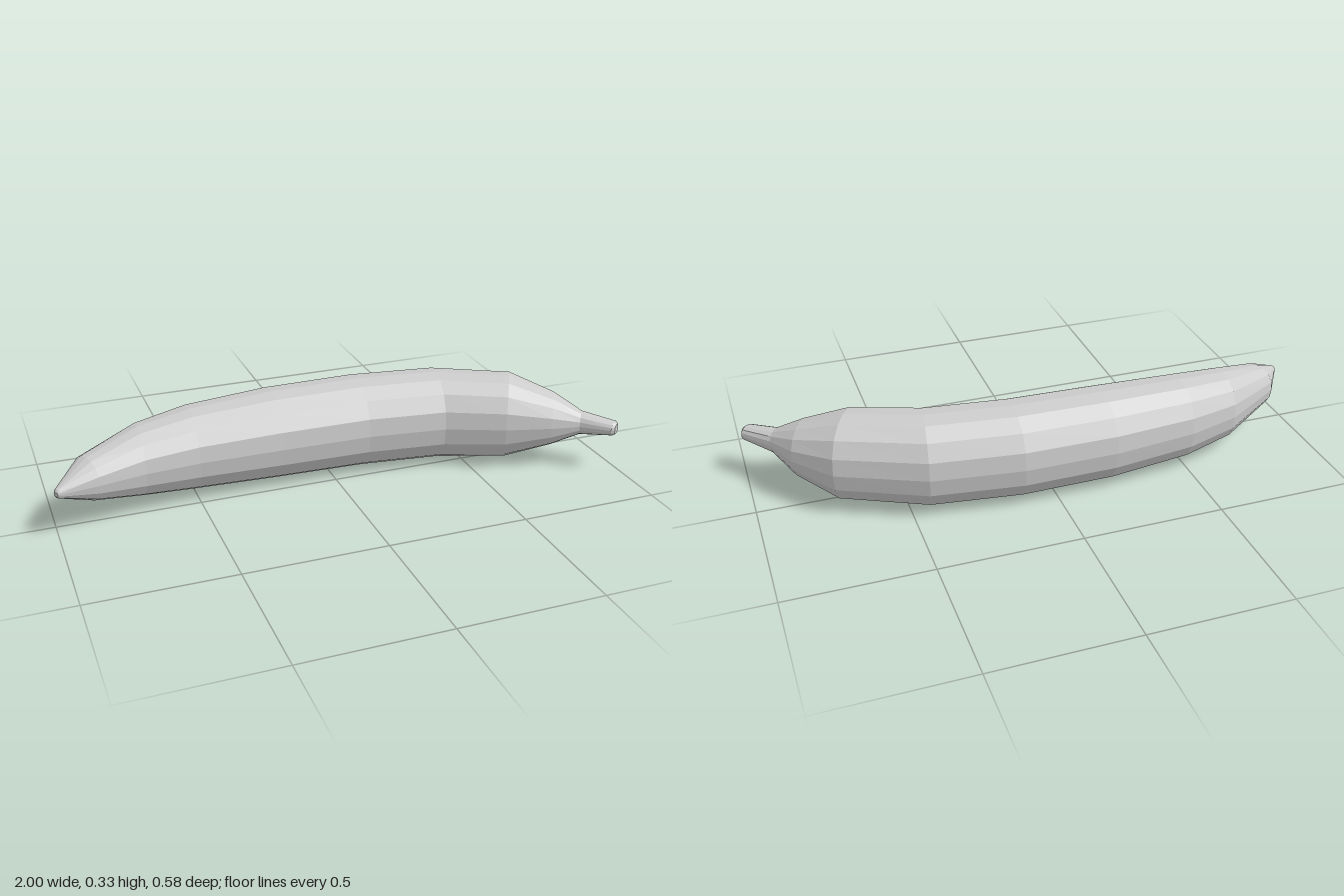
import * as THREE from 'three';

const SIDES = 16;
const MID_Y = 0.163;

// Each ring: [outer x, outer z, inner x, inner z, vertical radius]
const TIP = [
  [-0.998, 0.078, -0.99, 0.09, 0.008],
  [-1.0, 0.066, -0.98, 0.089, 0.016],
];
const BODY = [
  TIP[1],
  [-0.91, -0.07, -0.85, 0.07, 0.076],
  [-0.69, -0.205, -0.69, 0.04, 0.122],
  [-0.5, -0.26, -0.5, 0.025, 0.145],
  [-0.2, -0.293, -0.2, 0.025, 0.159],
  [0.13, -0.293, 0.12, 0.03, 0.163],
  [0.45, -0.25, 0.4, 0.065, 0.162],
  [0.745, -0.115, 0.6, 0.15, 0.153],
  [0.86, 0.02, 0.76, 0.195, 0.095],
  [0.915, 0.145, 0.865, 0.215, 0.042],
];
const STEM = [
  BODY[BODY.length - 1],
  [1.0, 0.245, 0.952, 0.287, 0.026],
  [0.997, 0.263, 0.967, 0.288, 0.019],
];

// Point on a slightly squared ring standing across the curved body
function ringPoint([ox, oz, ix, iz, r], j) {
  const a = (j % SIDES) / SIDES * Math.PI * 2;
  const bulge = 1 + 0.05 * Math.sin(2 * a) ** 2;
  const c = Math.cos(a) * bulge;
  return [
    (ox + ix) / 2 + (ox - ix) / 2 * c,
    MID_Y + r * Math.sin(a) * bulge,
    (oz + iz) / 2 + (oz - iz) / 2 * c,
  ];
}

// Skin a list of rings, with optional caps at either end
function loft(rings, capStart, capEnd) {
  const pos = [];
  const tri = (...points) => points.forEach((p) => pos.push(...p));
  const centre = ([ox, oz, ix, iz]) => [(ox + ix) / 2, MID_Y, (oz + iz) / 2];
  const first = rings[0];
  const last = rings[rings.length - 1];
  for (let j = 0; j < SIDES; j++) {
    for (let i = 0; i < rings.length - 1; i++) {
      const a = ringPoint(rings[i], j);
      const b = ringPoint(rings[i], j + 1);
      const c = ringPoint(rings[i + 1], j + 1);
      const d = ringPoint(rings[i + 1], j);
      tri(a, b, c);
      tri(a, c, d);
    }
    if (capStart) tri(ringPoint(first, j + 1), ringPoint(first, j), centre(first));
    if (capEnd) tri(ringPoint(last, j), ringPoint(last, j + 1), centre(last));
  }
  const geo = new THREE.BufferGeometry();
  geo.setAttribute('position', new THREE.Float32BufferAttribute(pos, 3));
  geo.computeVertexNormals();
  return geo;
}

export function createModel() {
  const group = new THREE.Group();
  group.name = 'banana';
  const peel = new THREE.MeshStandardMaterial({ color: 0xcccccc, flatShading: true });
  peel.name = 'paleGrey';

  const add = (name, geometry) => {
    const mesh = new THREE.Mesh(geometry, peel);
    mesh.name = name;
    group.add(mesh);
  };
  add('blossomTip', loft(TIP, true, false));
  add('body', loft(BODY, false, false));
  add('stem', loft(STEM, false, true));
  return group;
}
